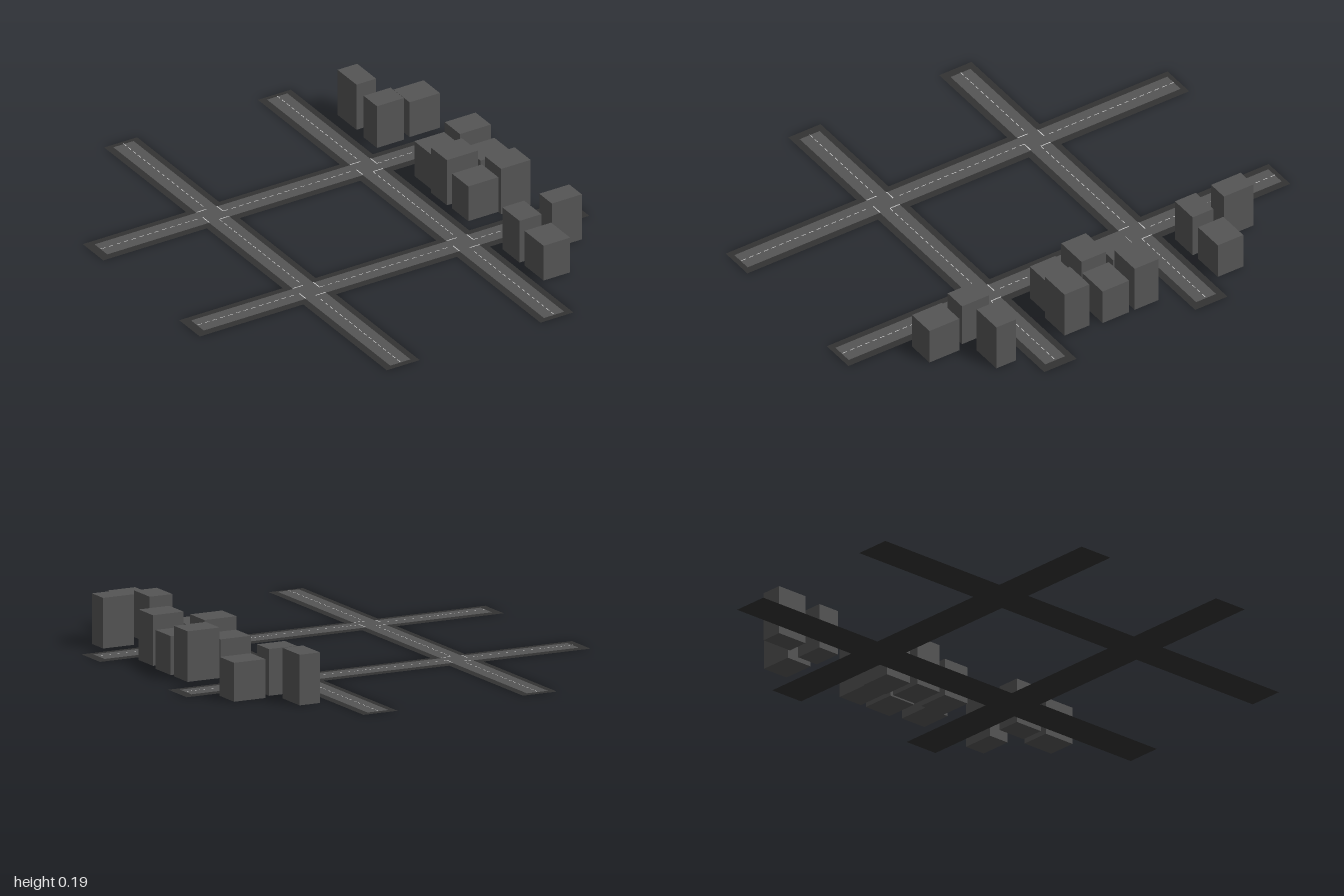
import * as THREE from 'three';

const kerbMat = new THREE.MeshStandardMaterial({ color: 0x333333, side: THREE.DoubleSide });
const asphaltMat = new THREE.MeshStandardMaterial({ color: 0x555555, side: THREE.DoubleSide });
const lineMat = new THREE.MeshStandardMaterial({ color: 0xcccccc, side: THREE.DoubleSide });
const buildingMat = new THREE.MeshStandardMaterial({ color: 0x555555 });

// Flat horizontal rectangle centred on (x, z)
function slab(name, mat, x, y, z, w, d) {
  const geo = new THREE.PlaneGeometry(w, d).rotateX(-Math.PI / 2);
  const mesh = new THREE.Mesh(geo, mat);
  mesh.name = name;
  mesh.position.set(x, y, z);
  return mesh;
}

const STREETS_X = [-0.332, 0.35]; // streets running along z
const STREETS_Z = [-0.347, 0.336]; // streets running along x
const KERB = 0.146, LANE = 0.09;

// One street along its own z axis, with a dashed centre line that stops at the crossings
function street(halfLength, inset, crossings) {
  const g = new THREE.Group();
  g.add(slab('kerb', kerbMat, 0, 0, 0, KERB, halfLength * 2));
  const half = halfLength - inset;
  g.add(slab('asphalt', asphaltMat, 0, 0.002, 0, LANE, half * 2));
  const dash = 0.02, pitch = 0.034;
  for (let z = -half + dash / 2; z < half; z += pitch) {
    if (crossings.some((c) => Math.abs(z - c) < LANE / 2 + dash / 2)) continue;
    g.add(slab('centreDash', lineMat, 0, 0.004, z, 0.003, dash));
  }
  return g;
}

export function createModel() {
  const model = new THREE.Group();
  model.name = 'cityBlock';

  // Streets
  for (const x of STREETS_X) {
    const s = street(1, 0.02, STREETS_Z);
    s.name = 'longStreet';
    s.position.x = x;
    model.add(s);
  }
  for (const z of STREETS_Z) {
    const s = street(0.864, 0.035, STREETS_X);
    s.name = 'crossStreet';
    s.rotation.y = Math.PI / 2;
    s.position.z = z;
    model.add(s);
  }

  // Stop lines on the incoming lane of each approach
  for (const x of STREETS_X) {
    for (const z of STREETS_Z) {
      const junction = new THREE.Group();
      junction.name = 'junctionStopLines';
      junction.position.set(x, 0, z);
      for (let i = 0; i < 4; i++) {
        const arm = new THREE.Group();
        arm.rotation.y = (i * Math.PI) / 2;
        arm.add(slab('stopLine', lineMat, LANE / 4, 0.004, LANE / 2, LANE / 2, 0.004));
        junction.add(arm);
      }
      model.add(junction);
    }
  }

  // Buildings: x range, z range, height
  const buildings = [
    [0.47, 0.557, -0.744, -0.61, 0.195],
    [0.462, 0.581, -0.546, -0.452, 0.18],
    [0.61, 0.744, -0.572, -0.457, 0.15],
    [0.468, 0.6, -0.198, -0.08, 0.15],
    [0.6, 0.737, -0.193, -0.085, 0.195],
    [0.453, 0.59, -0.055, 0.057, 0.195],
    [0.6, 0.737, -0.06, 0.06, 0.15],
    [0.457, 0.59, 0.087, 0.202, 0.15],
    [0.59, 0.721, 0.109, 0.222, 0.195],
    [0.453, 0.55, 0.449, 0.571, 0.18],
    [0.612, 0.745, 0.457, 0.546, 0.195],
    [0.457, 0.575, 0.6, 0.735, 0.15],
  ];
  for (const [x0, x1, z0, z1, h] of buildings) {
    const b = new THREE.Mesh(new THREE.BoxGeometry(x1 - x0, h, z1 - z0), buildingMat);
    b.name = 'building';
    b.position.set((x0 + x1) / 2, h / 2, (z0 + z1) / 2);
    model.add(b);
  }
  return model;
}
